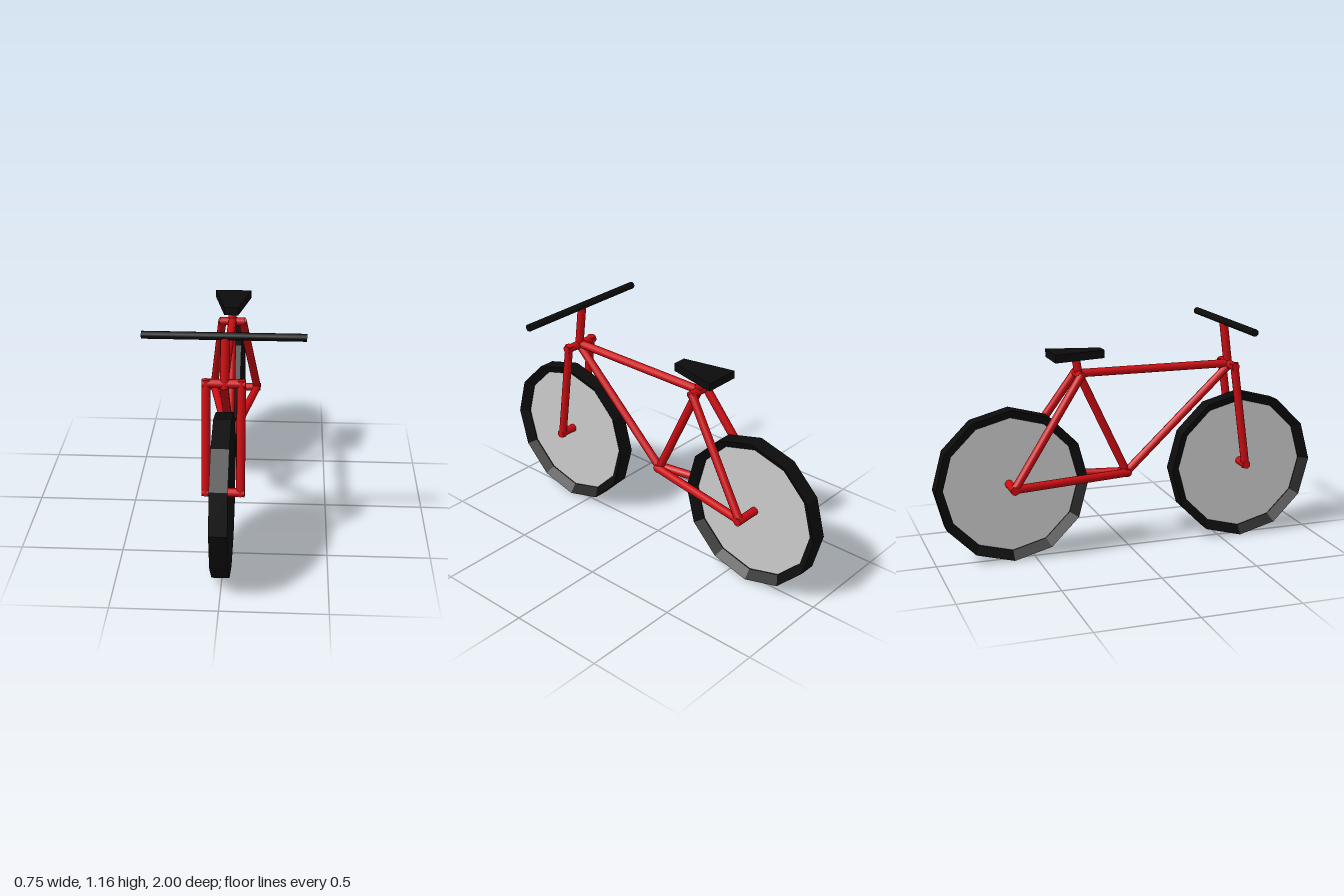
import * as THREE from 'three';

const red = new THREE.MeshStandardMaterial({ color: 0xcc0c12 });
const black = new THREE.MeshStandardMaterial({ color: 0x0c0c0c });
const blackFlat = new THREE.MeshStandardMaterial({ color: 0x0c0c0c, flatShading: true });
const grey = new THREE.MeshStandardMaterial({ color: 0xcccccc, flatShading: true });

const WHEEL_R = 0.387, INNER_R = 0.342, HALF_W = 0.042;
const UP = new THREE.Vector3(0, 1, 0);

// Straight round bar between two points
function bar(name, from, to, radius = 0.021, material = red) {
  const a = new THREE.Vector3(...from), b = new THREE.Vector3(...to);
  const dir = b.clone().sub(a);
  const mesh = new THREE.Mesh(new THREE.CylinderGeometry(radius, radius, dir.length(), 12), material);
  mesh.position.copy(a).add(b).multiplyScalar(0.5);
  mesh.quaternion.setFromUnitVectors(UP, dir.normalize());
  mesh.name = name;
  return mesh;
}

// Twelve-sided wheel: flat tread, sidewalls sloping in to a thin centre disc
function wheel(name, z) {
  const group = new THREE.Group();
  group.name = name;
  const profile = [
    [WHEEL_R, -HALF_W], [WHEEL_R, HALF_W], [INNER_R, 0.008], [INNER_R, -0.008], [WHEEL_R, -HALF_W],
  ].map(([r, y]) => new THREE.Vector2(r, y));
  const tyre = new THREE.Mesh(new THREE.LatheGeometry(profile, 12), blackFlat);
  tyre.name = 'tyre';
  const disc = new THREE.Mesh(new THREE.CylinderGeometry(INNER_R, INNER_R, 0.006, 12), grey);
  disc.name = 'wheelDisc';
  group.add(tyre, disc);
  group.rotation.z = Math.PI / 2;
  group.position.set(-0.002, WHEEL_R, z);
  return group;
}

// Flat saddle, narrow at the nose and wide at the back
function saddle() {
  const outline = new THREE.Shape([[-0.035, 0.135], [0.035, 0.135], [0.093, 0.402], [-0.093, 0.402]]
    .map(([x, s]) => new THREE.Vector2(x, s)));
  const geometry = new THREE.ExtrudeGeometry(outline, { depth: 0.04, bevelEnabled: false });
  geometry.rotateX(-Math.PI / 2);
  const mesh = new THREE.Mesh(geometry, blackFlat);
  mesh.position.y = 1.0;
  mesh.name = 'seat';
  return mesh;
}

export function createModel() {
  const model = new THREE.Group();
  model.name = 'bicycle';

  // Wheels
  model.add(wheel('frontWheel', 0.613), wheel('rearWheel', -0.613));

  // Main frame triangle
  const bracket = [0, 0.395, -0.01], seatJoint = [0, 0.925, -0.26];
  model.add(
    bar('topTube', [0, 0.925, 0.54], seatJoint),
    bar('downTube', [0, 0.91, 0.54], bracket),
    bar('seatTube', bracket, seatJoint),
    bar('seatPost', [0, 0.91, -0.257], [0, 1.01, -0.275]),
    bar('bottomBracket', [-0.025, 0.395, -0.01], [0.025, 0.395, -0.01]),
  );

  // Cross bars of the fork and the rear stays
  model.add(
    bar('forkCrown', [-0.1, 0.922, 0.542], [0.1, 0.922, 0.542]),
    bar('frontAxle', [-0.1, 0.4, 0.615], [0.1, 0.4, 0.615]),
    bar('seatStayBridge', [-0.065, 0.92, -0.262], [0.065, 0.92, -0.262]),
    bar('rearAxle', [-0.14, 0.392, -0.625], [0.14, 0.392, -0.625]),
  );

  // Mirrored fork legs and rear stays
  for (const [side, s] of [['left', 1], ['right', -1]]) {
    model.add(
      bar(side + 'ForkLeg', [s * 0.081, 0.94, 0.54], [s * 0.081, 0.385, 0.617]),
      bar(side + 'SeatStay', [s * 0.052, 0.925, -0.26], [s * 0.12, 0.395, -0.623]),
      bar(side + 'ChainStay', [s * 0.012, 0.395, 0], [s * 0.12, 0.395, -0.623]),
    );
  }

  // Steering and saddle
  model.add(
    bar('stem', [0.005, 0.9, 0.545], [0.005, 1.135, 0.515], 0.022),
    bar('handlebar', [-0.373, 1.143, 0.517], [0.373, 1.143, 0.517], 0.018, black),
    saddle(),
  );
  return model;
}
